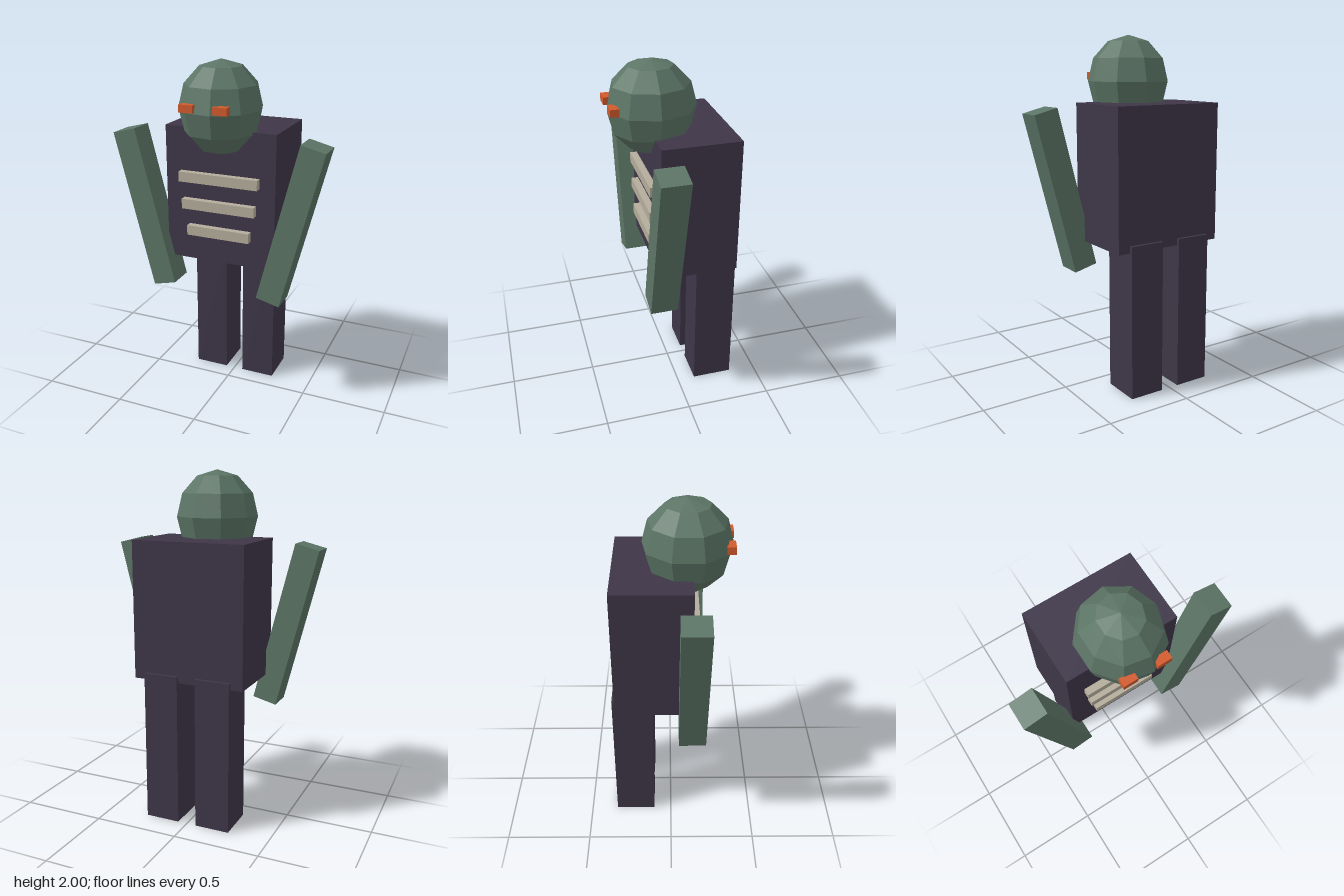
import * as THREE from 'three';

const mat = (name, color, flatShading = false) => {
  const m = new THREE.MeshStandardMaterial({ color, flatShading });
  m.name = name;
  return m;
};

export function createModel() {
  const model = new THREE.Group();
  model.name = 'figure';
  const dark = mat('dark purple', 0x3e3648);
  const green = mat('grey green', 0x5c7566, true);
  const bone = mat('bone', 0xb4ac9b);
  const orange = mat('orange', 0xd25a2c);

  // Box given by its size and centre
  const box = (name, material, [w, h, d], [x, y, z]) => {
    const mesh = new THREE.Mesh(new THREE.BoxGeometry(w, h, d), material);
    mesh.name = name;
    mesh.position.set(x, y, z);
    model.add(mesh);
    return mesh;
  };

  // Torso
  box('torso', dark, [0.66, 0.785, 0.44], [0, 1.2325, -0.1]);

  // Faceted head, stretched upwards
  const head = new THREE.Mesh(new THREE.SphereGeometry(1, 9, 6), green);
  head.name = 'head';
  head.scale.set(0.233, 0.26, 0.249);
  head.rotation.y = Math.PI;
  head.position.set(0, 1.74, 0.09);
  model.add(head);

  // Ribs across the chest, narrowing downwards
  [[1.344, 0.474], [1.185, 0.44], [1.028, 0.378]].forEach(([y, w], i) =>
    box(`rib${i + 1}`, bone, [w, 0.058, 0.06], [0, y, 0.13]));

  // Paired parts
  for (const [side, s] of [['left', 1], ['right', -1]]) {
    box(`${side}Eye`, orange, [0.08, 0.042, 0.048], [s * 0.096, 1.768, 0.313]);
    box(`${side}Leg`, dark, [0.204, 0.88, 0.235], [s * 0.157, 0.44, -0.2225]);
    const arm = box(`${side}Arm`, green, [0.141, 0.936, 0.156], [s * 0.44, 1.134, 0.123]);
    arm.rotation.z = -s * 0.248;
  }
  return model;
}
